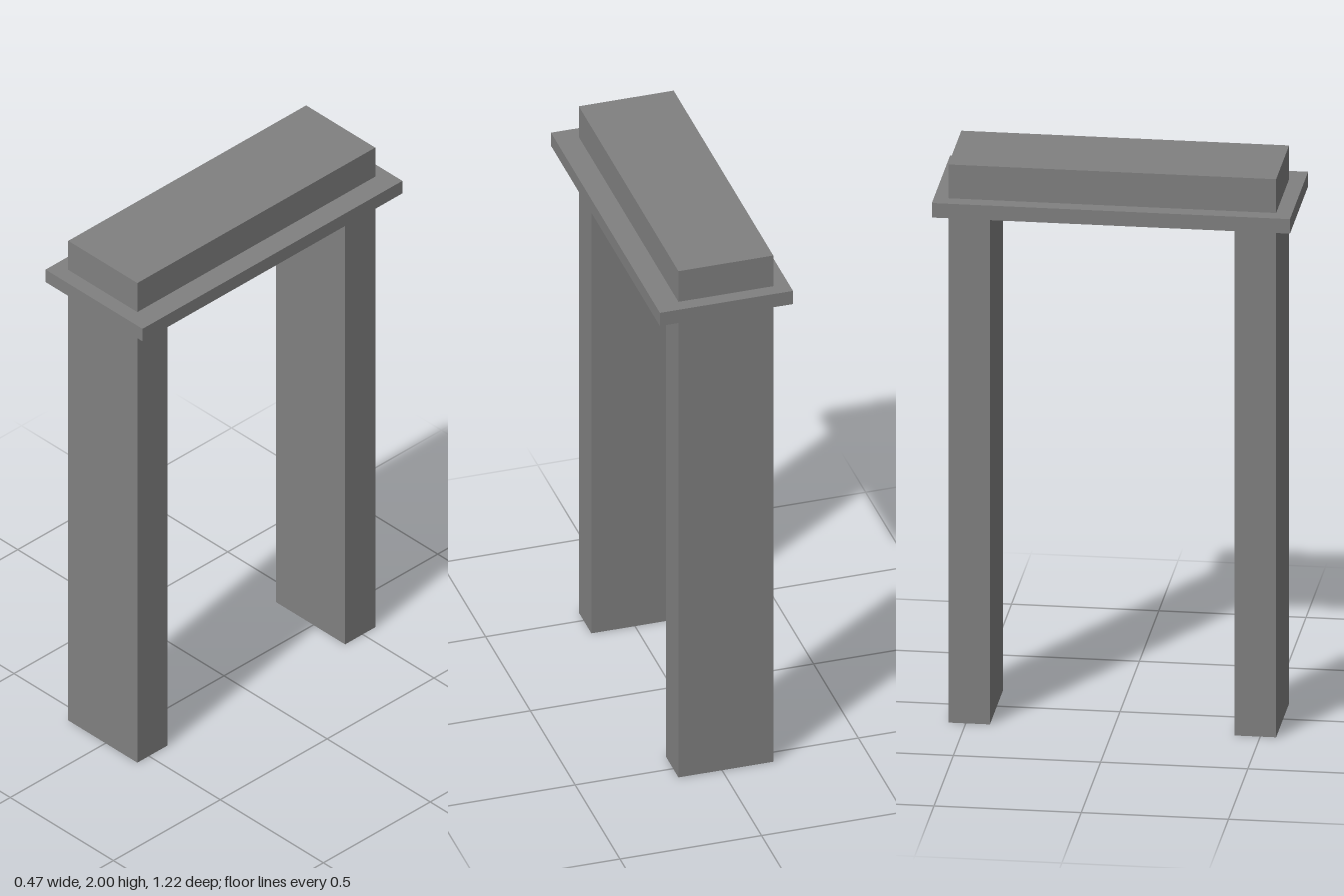
import * as THREE from 'three';

export function createModel() {
  const group = new THREE.Group();
  group.name = 'archway';
  const stone = new THREE.MeshStandardMaterial({ color: 0x808080 });
  stone.name = 'grey stone';

  // Box given by its lower and upper corners
  const block = (name, [x0, y0, z0], [x1, y1, z1]) => {
    const mesh = new THREE.Mesh(new THREE.BoxGeometry(x1 - x0, y1 - y0, z1 - z0), stone);
    mesh.position.set((x0 + x1) / 2, (y0 + y1) / 2, (z0 + z1) / 2);
    mesh.name = name;
    group.add(mesh);
  };

  const left = -0.181, right = 0.154;
  const slabBottom = 1.827, slabTop = 1.879;

  // Two upright pillars
  block('frontPillar', [left, 0, 0.413], [right, slabBottom, 0.554]);
  block('backPillar', [left, 0, -0.559], [right, slabBottom, -0.418]);

  // Overhanging slab with the lintel on top
  block('slab', [-0.235, slabBottom, -0.608], [0.235, slabTop, 0.608]);
  block('lintel', [left, slabTop, -0.559], [right, 2, 0.554]);

  return group;
}
